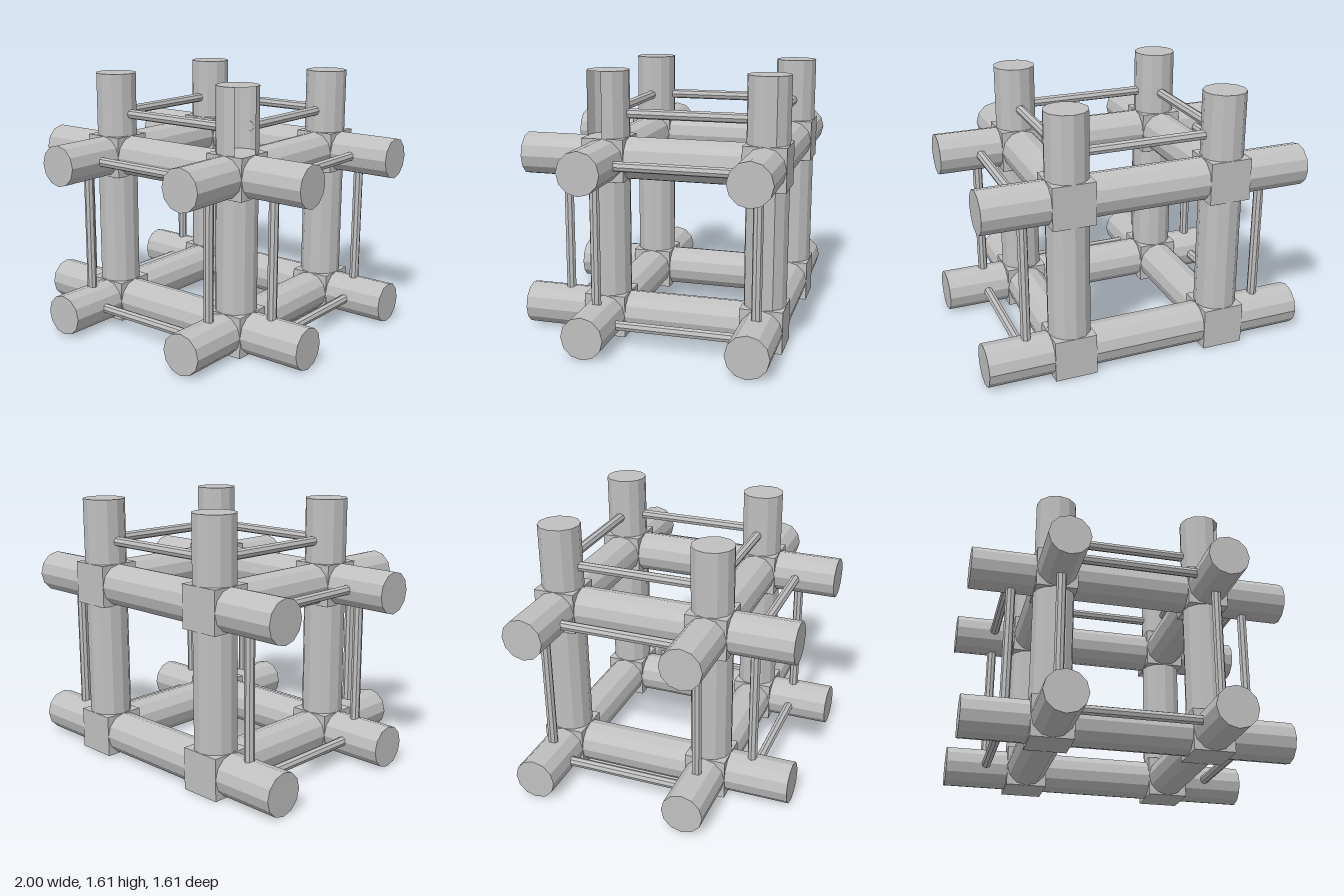
import * as THREE from 'three';

const R = 0.128;        // beam radius, also half a joint block
const ROD_R = 0.03;
const STUB = 0.52;      // joint centre to free beam end
const ROD_OFF = 0.265;  // joint centre to thin rod
const NODES = { x: [-0.48, 0.48], y: [R, 1.088], z: [-0.676, 0.284] };
const AXES = ['x', 'y', 'z'];
// Sides on which beams stick out past the joints
const STUBS = { x: [-1, 1], y: [1], z: [1] };

export function createModel() {
  const group = new THREE.Group();
  const grey = new THREE.MeshStandardMaterial({ color: 0xc0c0c0, flatShading: true, side: THREE.DoubleSide });

  const add = (name, geometry, pos) => {
    const mesh = new THREE.Mesh(geometry, grey);
    mesh.name = name;
    mesh.position.set(pos.x, pos.y, pos.z);
    group.add(mesh);
    return mesh;
  };

  // Cylinder along an axis from a to b, at the other coordinates of pos
  const bar = (name, axis, a, b, pos, radius, sides) => {
    const geometry = new THREE.CylinderGeometry(radius, radius, Math.abs(b - a), sides);
    if (axis === 'x') geometry.rotateZ(-Math.PI / 2);
    if (axis === 'z') geometry.rotateX(Math.PI / 2);
    add(name, geometry, { ...pos, [axis]: (a + b) / 2 });
  };

  // Joint blocks
  for (const x of NODES.x) for (const y of NODES.y) for (const z of NODES.z)
    add('jointBlock', new THREE.BoxGeometry(2 * R, 2 * R, 2 * R), { x, y, z });

  // Post with two side panels missing and a closed top
  const brokenPost = (x, y, z) => {
    const h = STUB - R;
    add('openPost', new THREE.CylinderGeometry(R, R, h, 10, 1, true, Math.PI / 2, Math.PI * 5 / 3),
      { x, y: y + R + h / 2, z });
    add('openPostTop', new THREE.CircleGeometry(R, 12).rotateX(-Math.PI / 2), { x, y: y + STUB, z });
  };

  for (const axis of AXES) {
    const [u, v] = AXES.filter((a) => a !== axis);
    const [lo, hi] = NODES[axis];

    for (const pu of NODES[u]) for (const pv of NODES[v]) {
      const pos = { [u]: pu, [v]: pv };
      // Beams between joints
      bar('beam', axis, lo + R, hi - R, pos, R, 12);
      // Free beam ends
      for (const s of STUBS[axis]) {
        const node = s > 0 ? hi : lo;
        if (axis === 'y' && pos.x > 0 && pos.z > 0) brokenPost(pos.x, node, pos.z);
        else bar('beamEnd', axis, node + s * R, node + s * STUB, pos, R, 12);
      }
    }

    // Thin rods tying neighbouring free ends together
    for (const s of STUBS[axis]) {
      const at = (s > 0 ? hi : lo) + s * ROD_OFF;
      for (const [along, across] of [[u, v], [v, u]])
        for (const p of NODES[across])
          bar('tieRod', along, NODES[along][0] + R - 0.008, NODES[along][1] - R + 0.008,
            { [axis]: at, [across]: p }, ROD_R, 8);
    }
  }
  return group;
}
